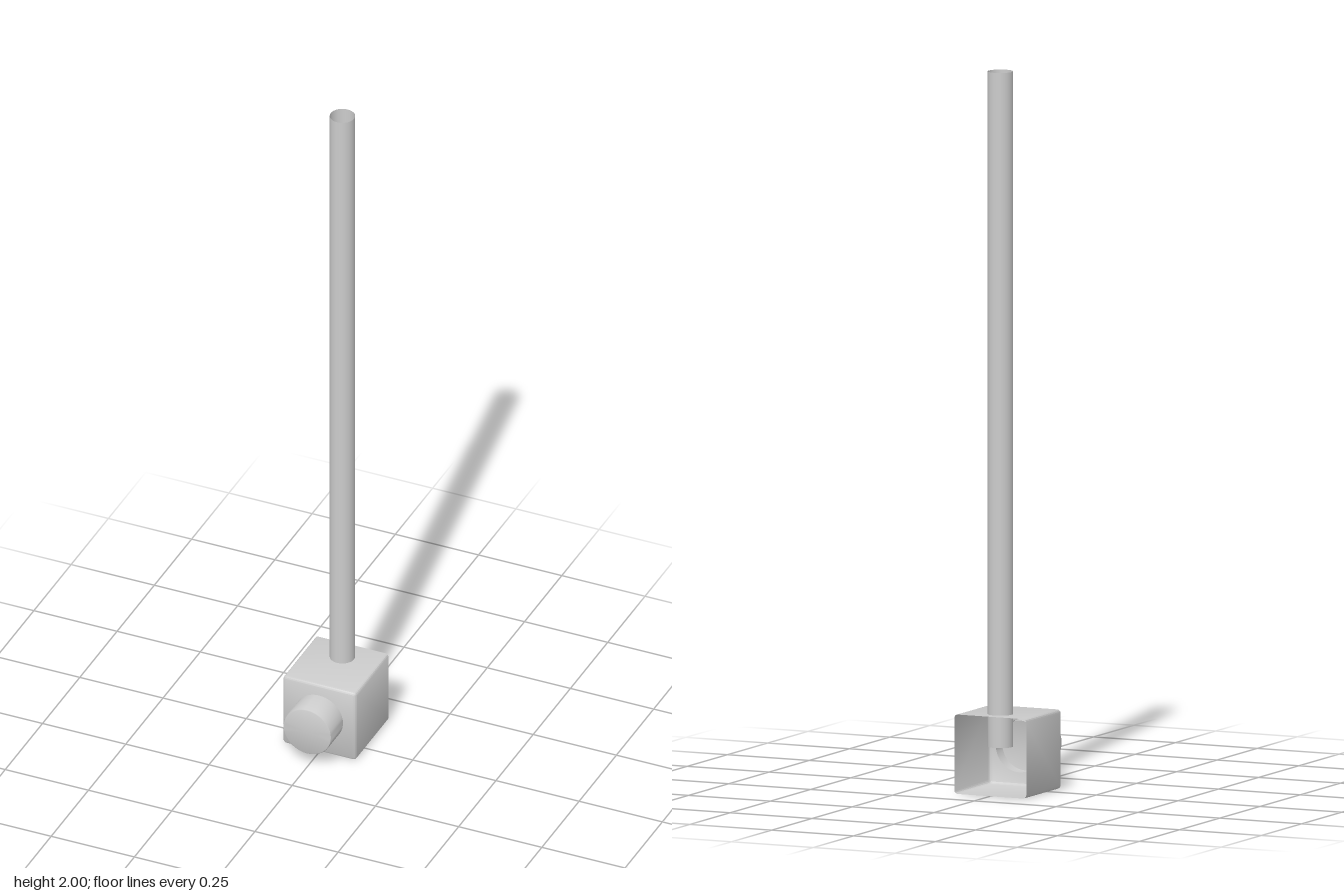
import * as THREE from 'three';
import { toCreasedNormals } from 'three/addons/utils/BufferGeometryUtils.js';

const material = new THREE.MeshStandardMaterial({ color: 0xcccccc, side: THREE.DoubleSide });

function addPart(group, name, geometry, x, y, z) {
  const mesh = new THREE.Mesh(geometry, material);
  mesh.name = name;
  mesh.position.set(x, y, z);
  group.add(mesh);
  return mesh;
}

// Points around a rounded square, counter-clockwise
function roundedSquare(half, radius, steps) {
  const points = [];
  for (let corner = 0; corner < 4; corner++) {
    const mid = Math.PI / 4 + corner * Math.PI / 2;
    const cx = Math.sign(Math.cos(mid)) * (half - radius);
    const cy = Math.sign(Math.sin(mid)) * (half - radius);
    for (let i = 0; i <= steps; i++) {
      const a = corner * Math.PI / 2 + (i / steps) * Math.PI / 2;
      points.push([cx + radius * Math.cos(a), cy + radius * Math.sin(a)]);
    }
  }
  return points;
}

// Box shell, open at the back, with rounded side and front edges
function shellGeometry(half, radius, steps) {
  const positions = [], index = [];
  const rings = [[-half, radius]];
  for (let i = 0; i <= steps; i++) {
    const a = (i / steps) * Math.PI / 2;
    rings.push([half - radius + radius * Math.sin(a), radius * Math.cos(a)]);
  }
  const count = 4 * (steps + 1);
  for (const [z, r] of rings) {
    for (const [x, y] of roundedSquare(half - radius + r, r, steps)) positions.push(x, y, z);
  }
  for (let k = 0; k < rings.length - 1; k++) {
    for (let i = 0; i < count; i++) {
      const j = (i + 1) % count;
      const a = k * count + i, b = k * count + j;
      index.push(a, b, b + count, a, b + count, a + count);
    }
  }
  // Front face
  const centre = positions.length / 3;
  positions.push(0, 0, half);
  const last = (rings.length - 1) * count;
  for (let i = 0; i < count; i++) index.push(centre, last + i, last + (i + 1) % count);

  const geometry = new THREE.BufferGeometry();
  geometry.setAttribute('position', new THREE.Float32BufferAttribute(positions, 3));
  geometry.setIndex(index);
  return toCreasedNormals(geometry, 0.6);
}

export function createModel() {
  const group = new THREE.Group();
  group.name = 'knobOnRod';

  addPart(group, 'housing', shellGeometry(0.11, 0.01, 4), 0, 0.11, -0.04);

  // Hollow rod, reaching down into the housing
  const bottom = 0.13, top = 2;
  const rod = new THREE.CylinderGeometry(0.035, 0.035, top - bottom, 32, 1, true);
  addPart(group, 'rod', rod, 0, (top + bottom) / 2, -0.087);

  // Round knob through the front wall, open at its inner end
  const profile = [[0.072, 0.03], [0.072, 0.147], [0.071, 0.149], [0.069, 0.15], [0, 0.15]]
    .map(([r, h]) => new THREE.Vector2(r, h));
  const knob = toCreasedNormals(new THREE.LatheGeometry(profile, 48), 0.6);
  addPart(group, 'knob', knob, 0, 0.115, 0).rotation.x = Math.PI / 2;

  return group;
}
